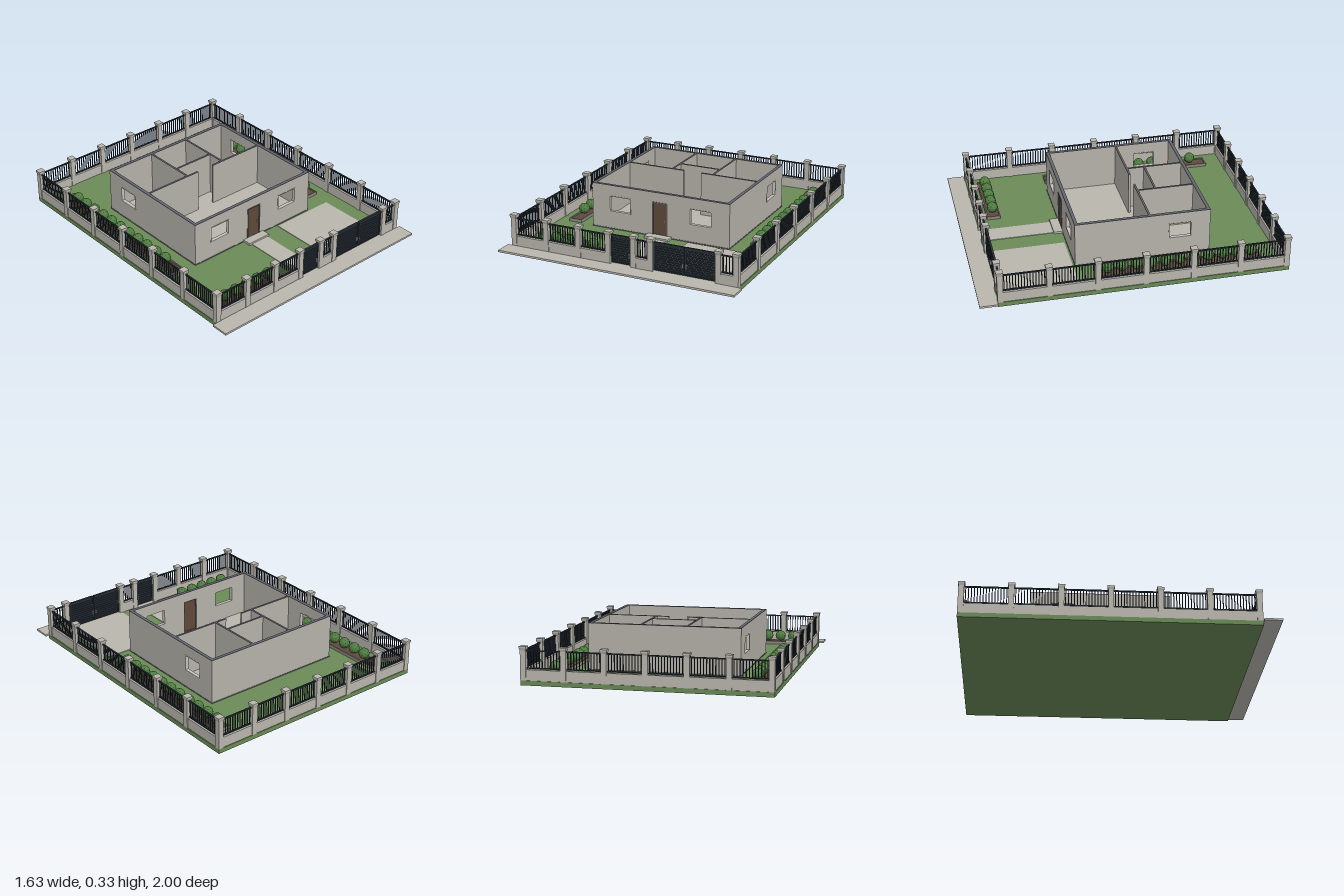
import * as THREE from 'three';
import { mergeGeometries } from 'three/addons/utils/BufferGeometryUtils.js';

const mat = (name, color, flatShading = false) => {
  const m = new THREE.MeshStandardMaterial({ color, flatShading });
  m.name = name;
  return m;
};

export function createModel() {
  const root = new THREE.Group();
  const M = {
    grass: mat('grass', 0x6b8a58),
    concrete: mat('concrete', 0xb9b6ae),
    plaster: mat('plaster', 0xb5b2aa),
    wallTop: mat('wall top grey', 0x63656c),
    iron: mat('dark iron', 0x262e36),
    door: mat('door brown', 0x5e4838),
    soil: mat('soil', 0x5c4a3c),
    border: mat('bed border', 0x8d8880),
    bush: mat('bush green', 0x4f7d40, true),
    frame: mat('window frame', 0xc4c2bc),
  };

  // Box geometry from its limits
  const box = (x0, x1, y0, y1, z0, z1) =>
    new THREE.BoxGeometry(x1 - x0, y1 - y0, z1 - z0)
      .translate((x0 + x1) / 2, (y0 + y1) / 2, (z0 + z1) / 2);
  const add = (name, geos, material, parent = root) => {
    const list = [].concat(geos);
    const mesh = new THREE.Mesh(list.length > 1 ? mergeGeometries(list) : list[0], material);
    mesh.name = name;
    parent.add(mesh);
    return mesh;
  };
  const group = (name) => {
    const g = new THREE.Group();
    g.name = name;
    root.add(g);
    return g;
  };

  // Ground and paving
  const G = 0.03;
  add('lawn', box(-0.79, 0.79, 0, G, -0.995, 0.885), M.grass);
  add('sidewalk', box(-0.82, 0.815, 0.021, 0.034, 0.885, 1.0), M.concrete);
  add('frontPath', box(-0.07, 0.068, G, 0.034, 0.34, 0.885), M.concrete);
  add('driveway', box(0.205, 0.655, G, 0.034, 0.355, 0.885), M.concrete);
  add('doorStep', box(-0.09, 0.082, G, 0.045, 0.34, 0.4), M.concrete);

  // House
  const house = group('house');
  const H = 0.33, X0 = -0.5, X1 = 0.491, Z0 = -0.55, Z1 = 0.34, T = 0.022;
  add('floor', box(X0 + 0.01, X1 - 0.01, G, 0.036, Z0 + 0.01, Z1 - 0.01), M.concrete, house);

  // Wall running along its local x, with rectangular openings [a, b, bottom, top]
  const wall = (a, b, openings) => {
    const s = new THREE.Shape([[a, G], [b, G], [b, H], [a, H]].map((p) => new THREE.Vector2(...p)));
    for (const [l, r, d, u] of openings) {
      s.holes.push(new THREE.Path([[l, d], [l, u], [r, u], [r, d]].map((p) => new THREE.Vector2(...p))));
    }
    return new THREE.ExtrudeGeometry(s, { depth: T, bevelEnabled: false });
  };
  // Four bars around an opening
  const surround = ([l, r, d, u], w, z0, z1) => [
    box(l, l + w, d, u, z0, z1), box(r - w, r, d, u, z0, z1),
    box(l + w, r - w, u - w, u, z0, z1), box(l + w, r - w, d, d + w, z0, z1),
  ];
  const alongZ = (g, x) => g.rotateY(-Math.PI / 2).translate(x, 0, 0);

  const frontWindows = [[-0.373, -0.216, 0.15, 0.262], [0.21, 0.366, 0.15, 0.262]];
  const sideWindow = [-0.428, -0.274, 0.15, 0.262];
  const doorway = [-0.058, 0.053, G + 0.001, 0.268];
  add('frontWall', wall(X0, X1, [...frontWindows, doorway]).translate(0, 0, Z1 - T), M.plaster, house);
  add('backWall', wall(X0, X1, []).translate(0, 0, Z0), M.plaster, house);
  add('rightWall', alongZ(wall(Z0 + T, Z1 - T, [sideWindow]), X0 + T), M.plaster, house);
  add('leftWall', alongZ(wall(Z0 + T, Z1 - T, [sideWindow]), X1), M.plaster, house);
  frontWindows.forEach((w) =>
    add('frontWindowFrame', surround(w, 0.005, Z1 - T, Z1 + 0.002), M.frame, house));
  [X0 + T, X1].forEach((x) =>
    add('sideWindowFrame', surround(sideWindow, 0.005, -0.001, T + 0.001).map((g) => alongZ(g, x)), M.frame, house));
  add('doorFrame', surround(doorway, 0.007, Z1 - T, Z1 + 0.003), M.wallTop, house);
  add('frontDoor', box(-0.051, 0.046, G + 0.008, 0.261, Z1 - 0.014, Z1 - 0.004), M.door, house);
  add('doorHandle', box(0.03, 0.036, 0.13, 0.155, Z1 - 0.004, Z1 + 0.002), M.frame, house);

  // Inner walls [x0, x1, z0, z1]
  const t = 0.0065;
  const inner = [
    [X0 + T, -0.066, -0.15 - t, -0.15 + t],
    [0.063, X1 - T, -0.15 - t, -0.15 + t],
    [-0.153 - t, -0.153 + t, Z0 + T, -0.15 - t],
    [0.148 - t, 0.148 + t, Z0 + T, -0.15 - t],
    [-0.153 + t, 0.148 - t, -0.272 - t, -0.272 + t],
  ];
  add('innerWalls', inner.map(([a, b, c, d]) => box(a, b, G, H, c, d)), M.plaster, house);

  // Dark strip on top of every wall, and thin base strip outside
  const ring = (y0, y1, o, w) => [
    box(X0 - o, X1 + o, y0, y1, Z0 - o, Z0 - o + w), box(X0 - o, X1 + o, y0, y1, Z1 + o - w, Z1 + o),
    box(X0 - o, X0 - o + w, y0, y1, Z0 - o + w, Z1 + o - w),
    box(X1 + o - w, X1 + o, y0, y1, Z0 - o + w, Z1 + o - w),
  ];
  add('wallTops', [...ring(H, H + 0.004, 0, T),
    ...inner.map(([a, b, c, d]) => box(a, b, H, H + 0.004, c, d))], M.wallTop, house);
  add('baseStrip', ring(G, G + 0.006, 0.002, 0.004), M.wallTop, house);

  // Perimeter fence: posts with flared caps, low walls and barred panels
  const fence = group('fence');
  const FX = 0.772, FB = -0.977, FF = 0.866, P = 0.018;
  const posts = [], lowWalls = [], bars = [];
  const post = (x, z) => {
    const flare = new THREE.CylinderGeometry(0.0225 * Math.SQRT2, P * Math.SQRT2, 0.014, 4)
      .toNonIndexed().rotateY(Math.PI / 4).translate(x, 0.225, z);
    flare.computeVertexNormals();
    posts.push(box(x - P, x + P, G, 0.218, z - P, z + P).toNonIndexed(), flare,
      box(x - 0.0225, x + 0.0225, 0.232, 0.243, z - 0.0225, z + 0.0225).toNonIndexed());
  };
  // Panel between posts at a and b on a line; alongX picks the direction
  const panel = (a, b, c, alongX) => {
    const put = (l, r, y0, y1, h) => (alongX ? box(l, r, y0, y1, c - h, c + h) : box(c - h, c + h, y0, y1, l, r));
    const l = a + P, r = b - P;
    lowWalls.push(put(l, r, G, 0.098, 0.013));
    bars.push(put(l, r, 0.103, 0.11, 0.005), put(l, r, 0.211, 0.219, 0.005));
    const n = Math.max(2, Math.round((r - l) / 0.0178));
    for (let i = 0; i < n; i++) {
      const m = l + ((i + 0.5) * (r - l)) / n;
      bars.push(put(m - 0.0028, m + 0.0028, 0.11, 0.211, 0.0028));
    }
  };
  const steps = (a, b, n) => Array.from({ length: n + 1 }, (_, i) => a + ((b - a) * i) / n);
  const zs = steps(FB, FF, 6), xs = steps(-FX, FX, 6);
  const frontXs = [-FX, -0.536, -0.303, -0.091, 0.085, 0.203, 0.656, FX];
  for (const x of [-FX, FX]) {
    zs.slice(1, -1).forEach((z) => post(x, z));
    zs.slice(1).forEach((z, i) => panel(zs[i], z, x, false));
  }
  xs.forEach((x) => post(x, FB));
  xs.slice(1).forEach((x, i) => panel(xs[i], x, FB, true));
  frontXs.forEach((x) => post(x, FF));
  [0, 1, 2, 4, 6].forEach((i) => panel(frontXs[i], frontXs[i + 1], FF, true));
  add('fencePosts', posts, M.concrete, fence);
  add('fenceLowWalls', lowWalls, M.concrete, fence);
  add('fenceBars', bars, M.iron, fence);

  // Slatted gates
  const gate = (name, l, r, handleX) => {
    const g = group(name);
    const parts = surround([l, r, 0.04, 0.224], 0.009, FF - 0.007, FF + 0.007);
    const n = 11, pitch = 0.166 / n;
    for (let i = 0; i < n; i++) {
      const y = 0.049 + (i + 0.5) * pitch;
      parts.push(box(l + 0.009, r - 0.009, y - 0.006, y + 0.006, FF - 0.003, FF + 0.003));
    }
    add('gateSlats', parts, M.iron, g);
    add('gateHandle', box(handleX - 0.002, handleX + 0.002, 0.085, 0.115, FF - 0.011, FF + 0.011), M.frame, g);
  };
  gate('footGate', -0.071, 0.065, 0.055);
  gate('drivewayGateRight', 0.223, 0.427, 0.417);
  gate('drivewayGateLeft', 0.432, 0.637, 0.442);

  // Flower beds with rows of round bushes
  const bed = (name, x0, x1, z0, z1, spots) => {
    const g = group(name), w = 0.008;
    add('soil', box(x0 + w, x1 - w, G, 0.044, z0 + w, z1 - w), M.soil, g);
    add('bedBorder', [
      box(x0, x1, G, 0.052, z0, z0 + w), box(x0, x1, G, 0.052, z1 - w, z1),
      box(x0, x0 + w, G, 0.052, z0 + w, z1 - w), box(x1 - w, x1, G, 0.052, z0 + w, z1 - w),
    ], M.border, g);
    add('bushes', spots.map(([x, z]) =>
      new THREE.IcosahedronGeometry(0.037, 1).translate(x, 0.087, z)), M.bush, g);
  };
  bed('rightBed', -0.686, -0.594, -0.847, 0.335, steps(-0.733, 0.21, 10).map((z) => [-0.642, z]));
  bed('leftBed', 0.59, 0.682, -0.847, 0.235, steps(-0.783, 0.16, 10).map((z) => [0.636, z]));
  bed('frontBed', -0.684, -0.194, 0.714, 0.806, steps(-0.62, -0.262, 4).map((x) => [x, 0.76]));

  return root;
}
